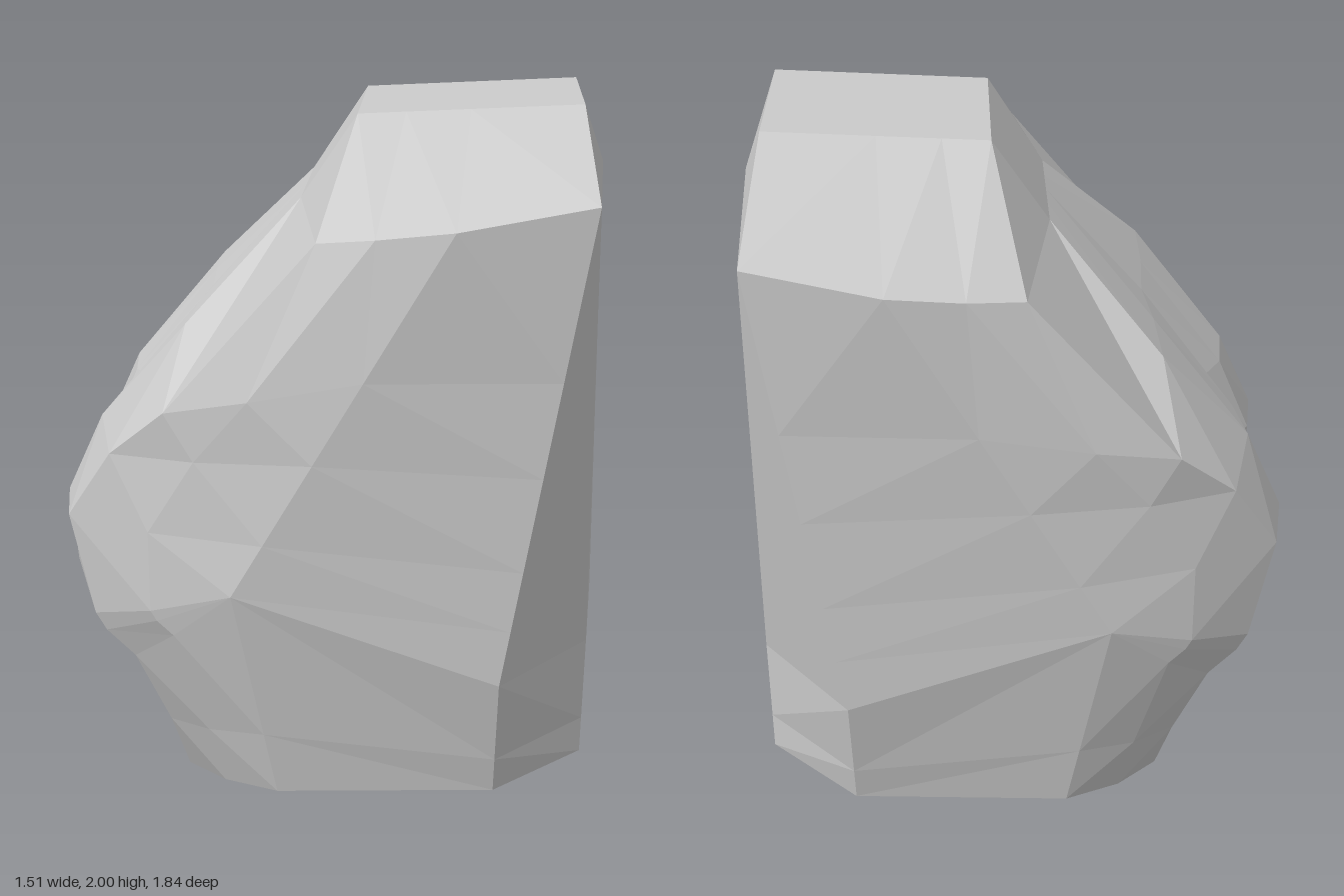
import * as THREE from 'three';

const lerp = (a, b, t) => a.map((v, i) => v + (b[i] - v) * t);

// Side, back corner, back panel and spine points at three heights
const shoulder = [[0.34, 1.76, 0.92], [0.7, 1.82, 0.87], [0.7, 1.82, 0.87], [0.75, 1.8, 0]];
const waist = [[-0.25, 0.75, 0.83], [0.47, 0.5, 0.8], [0.72, 0.5, 0.44], [0.75, 0.52, 0]];
const base = [[-0.14, 0.13, 0.7], [0.46, 0.15, 0.7], [0.71, 0.16, 0.44], [0.71, 0.16, 0]];
const neckBack = [[0.37, 1.985, 0.3], [0.68, 2, 0.3], [0.68, 2, 0.3], [0.68, 2, 0]];

// Flank and back at t: 0 shoulder, 1 waist, 2 base (the side point reaches the waist early)
const flank = (t) => shoulder.map((p, i) => (t <= 1
  ? lerp(p, waist[i], i === 0 ? Math.min(1, t / 0.88) : t)
  : lerp(waist[i], base[i], t - 1)));
const flankSteps = [0, 0.35, 0.55, 0.75, 0.88, 0.94, 1, 1.7, 2];

// Crest of the chest and belly, from neck to base
const crest = [
  [0.06, 1.97, 0.3], [-0.1, 1.73, 0.26], [-0.4, 1.42, 0.5], [-0.66, 1.12, 0.36], [-0.76, 0.9, 0.36],
  [-0.74, 0.69, 0.36], [-0.7, 0.6, 0.36], [-0.57, 0.49, 0.36], [-0.45, 0.29, 0.4], [-0.41, 0.12, 0.35],
];
// Outer front edge, from neck to base
const edge = [
  [0.06, 1.97, 0.3], [-0.02, 1.71, 0.82], [-0.43, 1.24, 0.77], [-0.59, 1.1, 0.68], [-0.72, 0.9, 0.6],
  [-0.65, 0.62, 0.62], [-0.62, 0.57, 0.62], [-0.54, 0.5, 0.63], [-0.45, 0.29, 0.58], [-0.41, 0.12, 0.5],
];
// Depth of the cleft down the centre of the chest
const cleft = [0, 0, 0.02, 0.11, 0.14, 0.11, 0.1, 0, 0, 0];

// Half cross-sections, each running from the chest centre round the +z flank to the spine
const rows = crest.map(([x, y, z], i) => {
  const back = i === 0 ? neckBack : flank(flankSteps[i - 1]);
  const [side] = back;
  const ribs = lerp(edge[i], side, 0.43);
  ribs[2] = THREE.MathUtils.lerp(edge[i][2], side[2], 0.6);
  return [[x + cleft[i], y, 0], [x + cleft[i] * 0.2, y, z * 0.45], crest[i], edge[i], ribs, ...back];
});

function torsoGeometry() {
  const pos = [];
  const flip = ([x, y, z]) => [x, y, -z];
  const triangle = new THREE.Triangle();
  // Adds a triangle and its mirror image, leaving out collapsed ones
  const tri = (...corners) => {
    triangle.set(...corners.map((p) => new THREE.Vector3(...p)));
    if (triangle.getArea() < 1e-6) return;
    const [a, b, c] = corners;
    pos.push(...a, ...b, ...c, ...flip(a), ...flip(c), ...flip(b));
  };

  // Skin between neighbouring cross-sections
  for (let i = 0; i < rows.length - 1; i++) {
    const a = rows[i], b = rows[i + 1];
    for (let j = 0; j < a.length - 1; j++) {
      tri(a[j], b[j], b[j + 1]);
      tri(a[j], b[j + 1], a[j + 1]);
    }
  }

  // Flat top and shallow pointed base
  const top = rows[0], bottom = rows[rows.length - 1];
  for (let j = 0; j < top.length - 1; j++) {
    tri([0.37, 1.985, 0], top[j], top[j + 1]);
    tri([0.12, 0, 0], bottom[j + 1], bottom[j]);
  }

  const geometry = new THREE.BufferGeometry();
  geometry.setAttribute('position', new THREE.Float32BufferAttribute(pos, 3));
  geometry.computeVertexNormals();
  return geometry;
}

export function createModel() {
  const group = new THREE.Group();
  group.name = 'torsoModel';
  const material = new THREE.MeshStandardMaterial({ color: 0xcccccc, flatShading: true });
  const torso = new THREE.Mesh(torsoGeometry(), material);
  torso.name = 'torso';
  group.add(torso);
  return group;
}
